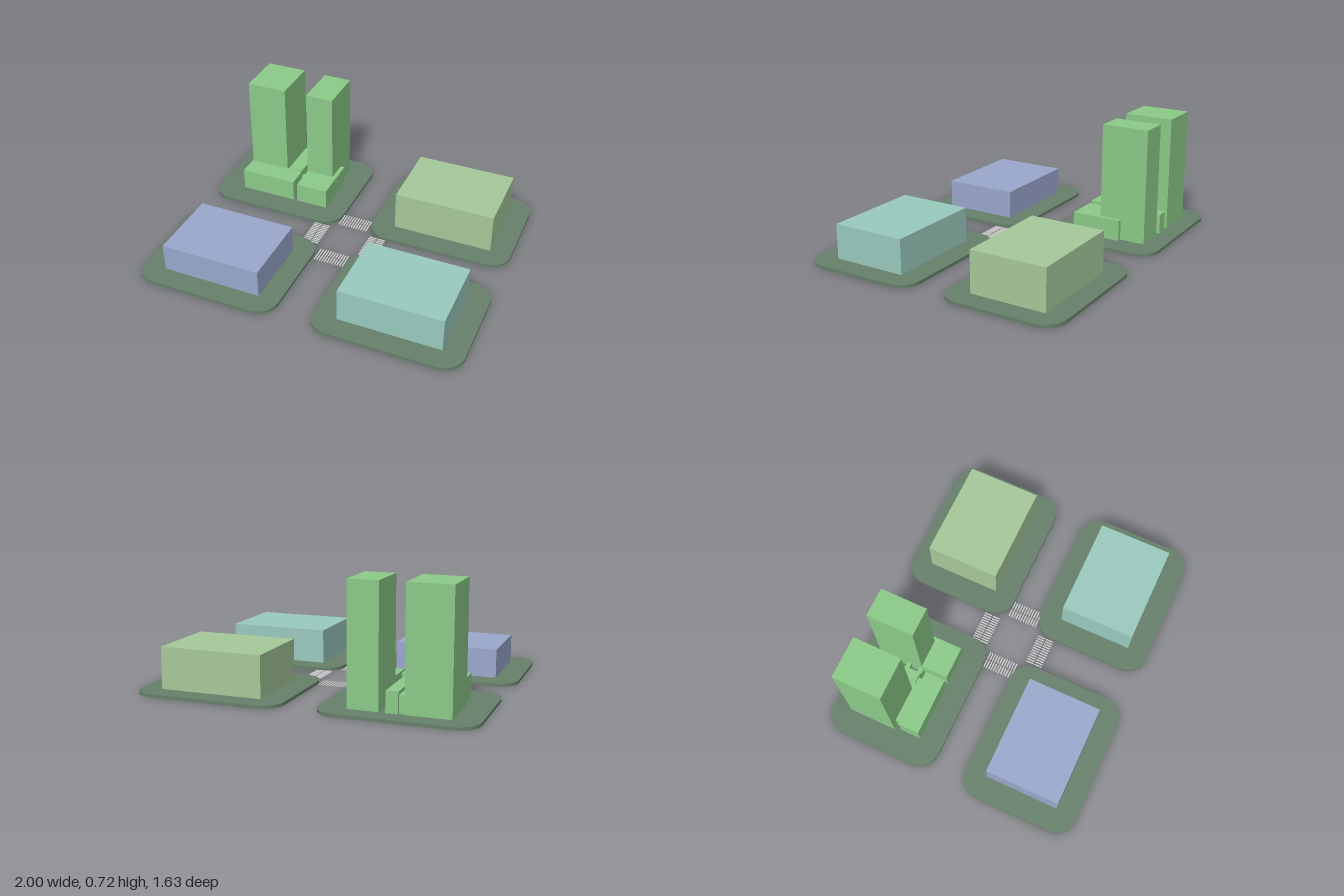
import * as THREE from 'three';

const mat = (color) => new THREE.MeshStandardMaterial({ color, flatShading: true });
const SLAB_TOP = 0.018;

// Box given by its extents
function block(name, material, x0, x1, y0, y1, z0, z1) {
  const m = new THREE.Mesh(new THREE.BoxGeometry(x1 - x0, y1 - y0, z1 - z0), material);
  m.position.set((x0 + x1) / 2, (y0 + y1) / 2, (z0 + z1) / 2);
  m.name = name;
  return m;
}

// Rounded city block lying flat on the ground
function slab(name, material, x0, x1, z0, z1, r = 0.125) {
  const s = new THREE.Shape();
  const a = -z1, b = -z0;
  s.moveTo(x0 + r, a);
  s.lineTo(x1 - r, a);
  s.absarc(x1 - r, a + r, r, -Math.PI / 2, 0);
  s.lineTo(x1, b - r);
  s.absarc(x1 - r, b - r, r, 0, Math.PI / 2);
  s.lineTo(x0 + r, b);
  s.absarc(x0 + r, b - r, r, Math.PI / 2, Math.PI);
  s.lineTo(x0, a + r);
  s.absarc(x0 + r, a + r, r, Math.PI, Math.PI * 1.5);
  const g = new THREE.ExtrudeGeometry(s, { depth: SLAB_TOP, bevelEnabled: false, curveSegments: 8 });
  g.rotateX(-Math.PI / 2);
  const m = new THREE.Mesh(g, material);
  m.name = name;
  return m;
}

// Two rows of stripes, built across x and then turned into place
function crosswalk(name, material, angle) {
  const g = new THREE.Group();
  g.name = name;
  const count = 12, pitch = 0.0165;
  for (const [z0, z1] of [[0.135, 0.184], [0.19, 0.24]]) {
    for (let i = 0; i < count; i++) {
      const x = (i - (count - 1) / 2) * pitch;
      g.add(block('stripe', material, x - 0.004, x + 0.004, 0, 0.004, z0, z1));
    }
  }
  g.rotation.y = angle;
  return g;
}

export function createModel() {
  const model = new THREE.Group();
  model.name = 'cityCrossing';

  // Four rounded ground slabs
  const ground = mat(0x66806a);
  model.add(
    slab('backRightSlab', ground, -0.985, -0.095, -0.82, -0.10),
    slab('backLeftSlab', ground, 0.105, 1.0, -0.82, -0.10),
    slab('frontRightSlab', ground, -1.0, -0.11, 0.09, 0.815),
    slab('frontLeftSlab', ground, 0.105, 1.0, 0.09, 0.815),
  );

  // Plain buildings
  model.add(
    block('backLeftBuilding', mat(0xa6c89a), 0.25, 0.87, SLAB_TOP, 0.265, -0.695, -0.235),
    block('frontLeftBuilding', mat(0x9acabe), 0.25, 0.87, SLAB_TOP, 0.228, 0.225, 0.685),
    block('frontRightBuilding', mat(0x9aa8cc), -0.86, -0.24, SLAB_TOP, 0.19, 0.225, 0.685),
  );

  // Tower complex: two towers, low wings and narrow links
  const green = mat(0x8cca88);
  const towers = new THREE.Group();
  towers.name = 'towerComplex';
  const parts = [
    ['wideTower', -0.835, -0.58, 0.715, -0.71, -0.41],
    ['narrowTower', -0.435, -0.257, 0.715, -0.705, -0.415],
    ['frontWing', -0.82, -0.46, 0.155, -0.375, -0.245],
    ['sideWing', -0.435, -0.23, 0.145, -0.55, -0.245],
    ['middleWing', -0.545, -0.475, 0.14, -0.71, -0.405],
    ['innerWing', -0.80, -0.545, 0.12, -0.695, -0.375],
    ['innerWingEnd', -0.545, -0.50, 0.12, -0.405, -0.375],
    ['rearLink', -0.475, -0.435, 0.1, -0.515, -0.49],
    ['frontLink', -0.475, -0.435, 0.1, -0.435, -0.405],
  ];
  for (const [name, x0, x1, h, z0, z1] of parts) {
    towers.add(block(name, green, x0, x1, SLAB_TOP, h, z0, z1));
  }
  model.add(towers);

  // Crosswalks on the four sides of the junction
  const paint = mat(0xcccccc);
  ['front', 'left', 'back', 'right'].forEach((side, i) => {
    model.add(crosswalk(side + 'Crosswalk', paint, i * Math.PI / 2));
  });

  return model;
}
